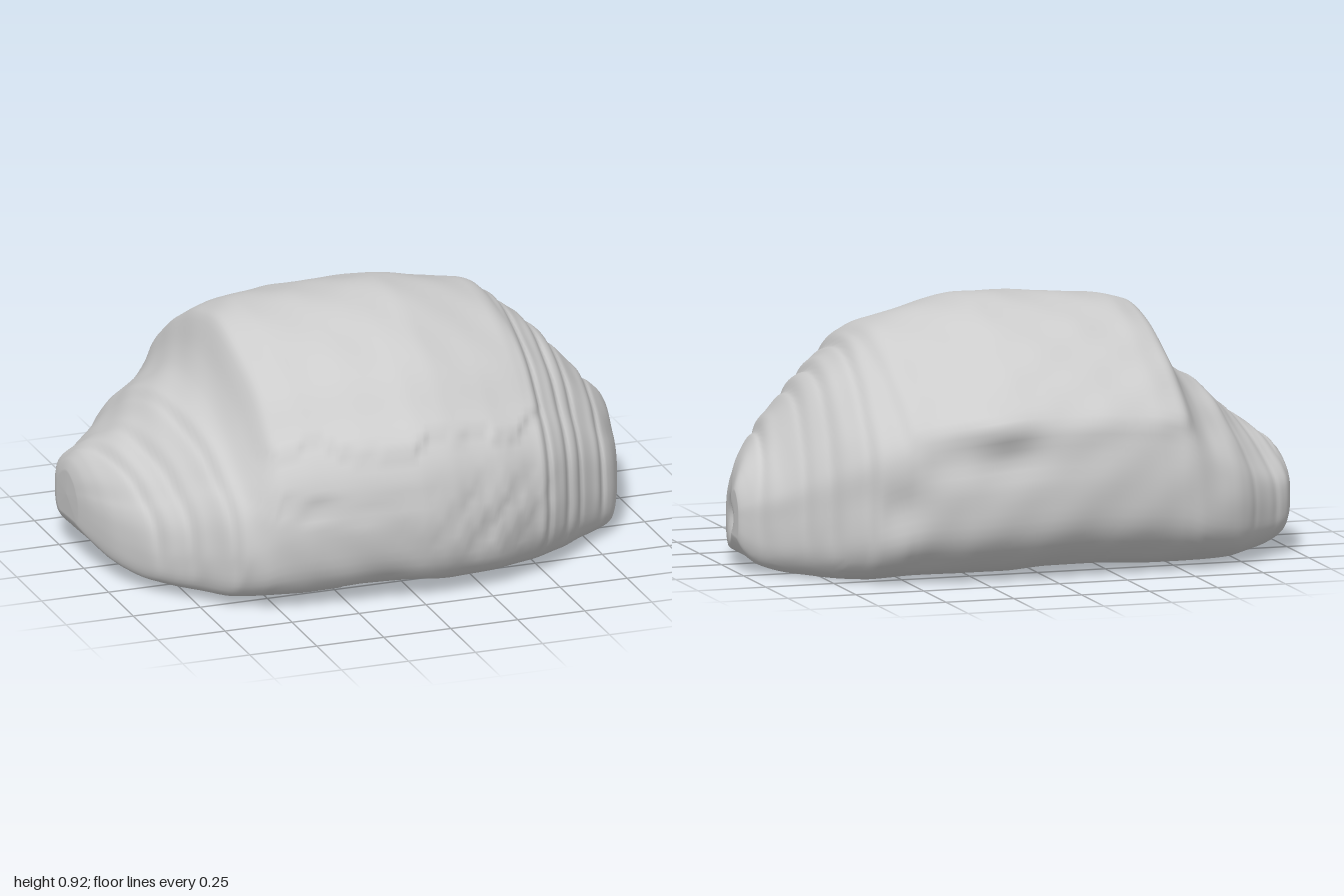
import * as THREE from 'three';

// stations along the roll: x, back z, front z, bottom y, top y
const STATIONS = [
  [-1.0, -0.28, -0.05, 0.14, 0.32], [-0.985, -0.35, 0.05, 0.11, 0.365], [-0.95, -0.41, 0.18, 0.07, 0.395],
  [-0.88, -0.46, 0.33, 0.04, 0.445], [-0.8, -0.54, 0.43, 0.03, 0.5], [-0.72, -0.615, 0.51, 0.02, 0.59],
  [-0.66, -0.65, 0.6, 0.02, 0.625], [-0.6, -0.675, 0.63, 0.02, 0.67], [-0.55, -0.695, 0.66, 0.02, 0.75],
  [-0.51, -0.71, 0.68, 0.02, 0.85], [-0.4, -0.725, 0.705, 0.02, 0.89], [-0.2, -0.74, 0.73, 0.03, 0.91],
  [0.0, -0.745, 0.755, 0.03, 0.917], [0.12, -0.745, 0.75, 0.02, 0.915], [0.3, -0.74, 0.72, 0.02, 0.88],
  [0.48, -0.715, 0.655, 0.02, 0.845], [0.55, -0.69, 0.6, 0.015, 0.8], [0.62, -0.66, 0.54, 0.01, 0.74],
  [0.7, -0.58, 0.46, 0.01, 0.67], [0.75, -0.51, 0.42, 0.01, 0.615], [0.83, -0.41, 0.35, 0.015, 0.525],
  [0.87, -0.36, 0.31, 0.02, 0.475], [0.94, -0.27, 0.14, 0.04, 0.41], [0.98, -0.22, -0.02, 0.08, 0.35],
  [1.0, -0.19, -0.09, 0.13, 0.3],
];

// cross-section outline, as fractions of the depth and height of a station
const SECTION = [
  [0, 0.03], [0.5, 0.03], [0.8, 0.035], [0.9, 0.06], [0.97, 0.14], [1, 0.27], [1, 0.37], [0.96, 0.53],
  [0.88, 0.635], [0.77, 0.715], [0.605, 0.84], [0.36, 0.935], [0.11, 0.993], [-0.1, 1], [-0.34, 0.95],
  [-0.62, 0.83], [-0.82, 0.71], [-0.94, 0.6], [-0.985, 0.47], [-0.995, 0.32], [-0.97, 0.18], [-0.87, 0.07],
  [-0.72, 0.01], [-0.3, 0.02],
];

const AROUND = 120;
const ALONG = 180;
const { smoothstep } = THREE.MathUtils;
const bump = (d, width) => Math.exp(-((d / width) ** 2));

function stationAt(x) {
  let i = 0;
  while (i < STATIONS.length - 2 && STATIONS[i + 1][0] < x) i++;
  const a = STATIONS[i], b = STATIONS[i + 1];
  const t = (x - a[0]) / (b[0] - a[0]);
  return a.map((v, k) => v + (b[k] - v) * t);
}

// average over neighbouring stations, so the slopes flow into each other
function softStationAt(x) {
  const h = Math.min(0.022, 1 - Math.abs(x));
  const rows = [x - h, x, x + h].map(stationAt);
  return rows[0].map((_, k) => (rows[0][k] + 2 * rows[1][k] + rows[2][k]) / 4);
}

// outward swell of the crust: folds, overlapping flap, creases and uneven dough
function relief(x, y, z, u) {
  let d = 0.004 * Math.sin(9 * x + 4 * z) * Math.sin(8 * y + 5 * z + 1)
    + 0.003 * Math.sin(23 * x + 11 * y) * Math.sin(19 * z + 13 * y);
  if (y < 0.07) return d * 0.4;
  const low = smoothstep(y, 0.07, 0.2);
  // wrapped folds towards each tip, strongest on the left front
  const folds = x > 0 ? [0.58, 0.68, 0.75, 0.87] : [0.72, 0.83, 0.92];
  const strength = (x > 0 ? 1 : 0.7) * (0.45 + 0.55 * smoothstep(u, -0.5, 0.5));
  for (const f of folds) {
    const off = Math.abs(x) - (f - 0.07 * u);
    d += low * strength * (0.008 * bump(off + 0.028, 0.02) - 0.015 * bump(off, 0.012));
  }
  // raised top flap with a ragged front edge
  const edge = 0.57 + 0.025 * Math.sin(13 * x) + 0.012 * Math.sin(31 * x);
  const flap = smoothstep(x, -0.56, -0.5) * (1 - smoothstep(x, 0.5, 0.54));
  const front = z > 0 ? smoothstep(y, edge, edge + 0.015) : smoothstep(y, 0.5, 0.56);
  d += 0.016 * flap * front - 0.004 * flap;
  if (z > 0.3) {
    // crease and small pits on the front
    d -= 0.02 * bump(y - 0.41 - 0.03 * Math.sin(6 * x), 0.015) * bump(x + 0.3, 0.22);
    d -= 0.018 * bump(x - 0.28, 0.22) * bump(y - 0.3, 0.13)
      * Math.max(0, Math.sin(47 * x + 9 * y) * Math.sin(41 * y + 15 * x));
  }
  if (z < -0.3) {
    // lump and hollows on the back
    d += 0.045 * bump(x - 0.21, 0.12) * bump(y - 0.57, 0.06);
    d -= 0.03 * bump(x - 0.55, 0.1) * bump(y - 0.29, 0.1);
    d -= 0.015 * bump(x - 0.2, 0.3) * bump(y - 0.44, 0.05);
  }
  return d;
}

function createRollGeometry() {
  const outline = new THREE.CatmullRomCurve3(
    SECTION.map(([u, v]) => new THREE.Vector3(0, v, u)), true, 'centripetal').getSpacedPoints(AROUND);
  const positions = [], indices = [];

  function addRing(x, scale, inset) {
    const [, back, front, bottom, top] = softStationAt(x);
    const cz = (back + front) / 2, cy = (bottom + top) / 2;
    // fuller back shoulder on the left half
    const shoulder = 0.08 * smoothstep(x, 0.4, 0.7);
    for (let j = 0; j < AROUND; j++) {
      const v = outline[j].y;
      const u = outline[j].z * (outline[j].z < 0 ? 1 + shoulder * smoothstep(v, 0.4, 0.8) : 1);
      let z = cz + u * (front - back) / 2 * scale;
      let y = cy + (v - 0.5) * (top - bottom) * scale;
      const length = Math.hypot(u, v - 0.45) || 1;
      const d = relief(x, y, z, u) * scale;
      z += d * u / length;
      y += d * (v - 0.45) / length;
      // shallow hollow under the roll
      if (v < 0.05) y += 0.02 * bump(u, 0.5) * bump(x, 0.5);
      // dimple where the dough is rolled up at the left tip
      const dent = x > 0.85 ? 0.05 * bump(z + 0.03, 0.06) * bump(y - 0.19, 0.05) : 0;
      positions.push(x - Math.sign(x) * inset - dent, Math.max(y, 0), z);
    }
  }

  // closed end, body and closed end
  for (const s of [0.01, 0.35, 0.7, 0.9]) addRing(-1, s, -0.004 * (1 - s));
  for (let i = 0; i <= ALONG; i++) addRing(-Math.cos(Math.PI * i / ALONG) * 0.25 + (2 * i / ALONG - 1) * 0.75, 1, 0);
  for (const s of [0.9, 0.7, 0.35, 0.01]) addRing(1, s, 0);

  const rings = positions.length / 3 / AROUND;
  for (let i = 0; i < rings - 1; i++) {
    for (let j = 0; j < AROUND; j++) {
      const k = (j + 1) % AROUND;
      const a = i * AROUND + j, b = a + AROUND, c = (i + 1) * AROUND + k, d = i * AROUND + k;
      indices.push(a, b, c, a, c, d);
    }
  }
  const geometry = new THREE.BufferGeometry();
  geometry.setAttribute('position', new THREE.Float32BufferAttribute(positions, 3));
  geometry.setIndex(indices);
  geometry.computeVertexNormals();
  return geometry;
}

export function createModel() {
  const crust = new THREE.MeshStandardMaterial({ color: 0xcccccc });
  crust.name = 'pale grey crust';
  const roll = new THREE.Mesh(createRollGeometry(), crust);
  roll.name = 'breadRoll';
  const group = new THREE.Group();
  group.name = 'pastry';
  group.add(roll);
  return group;
}
